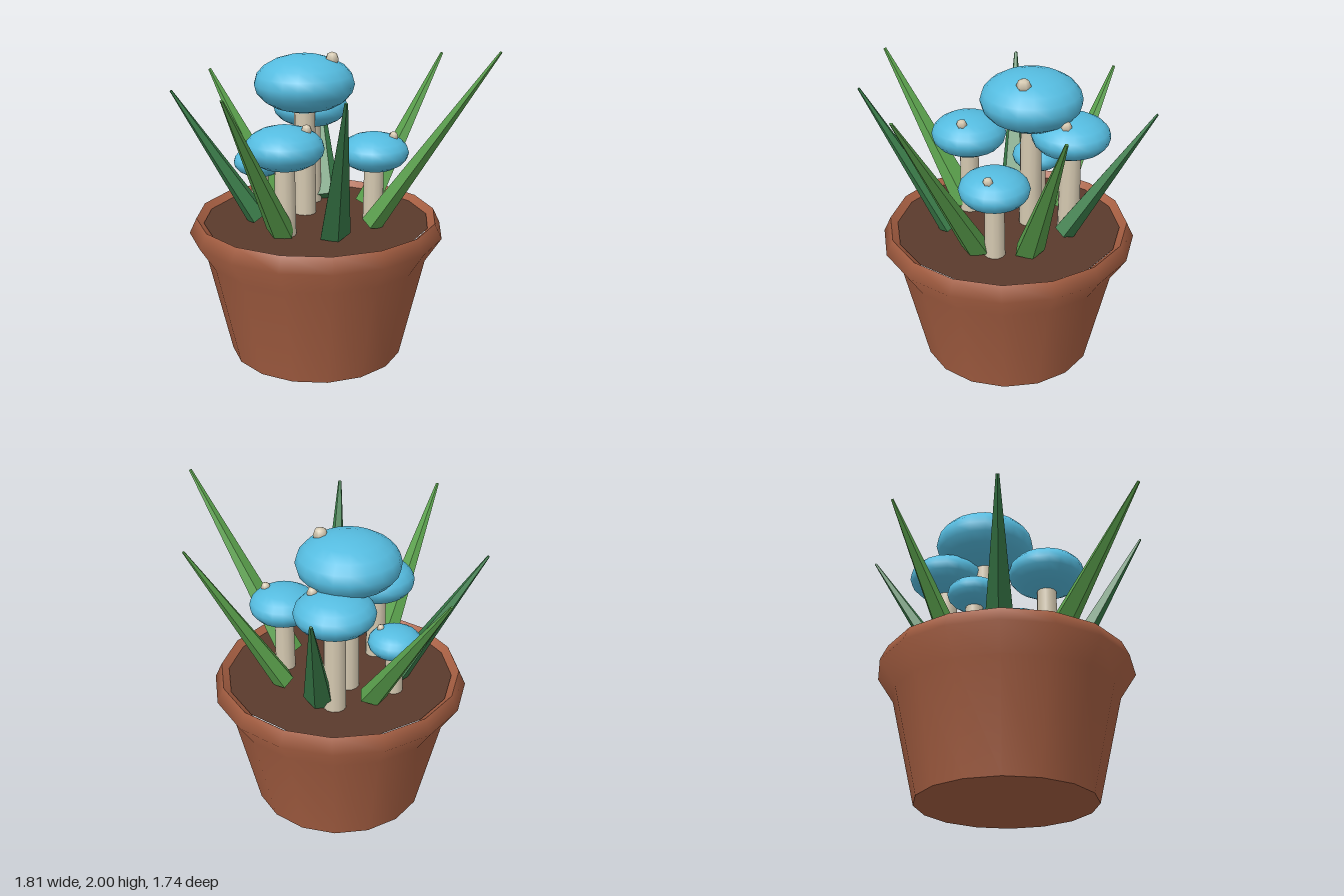
import * as THREE from 'three';

const mat = (name, color, extra = {}) => {
  const m = new THREE.MeshStandardMaterial({ color, ...extra });
  m.name = name;
  return m;
};

export function createModel() {
  const group = new THREE.Group();
  const clay = mat('terracotta', 0xa86043);
  const earth = mat('soil', 0x5a3a2c);
  const blue = mat('capBlue', 0x55bce0);
  const cream = mat('stemCream', 0xd4c8b0);
  const lightGreen = mat('lightGreen', 0x5aa04c, { flatShading: true });
  const darkGreen = mat('darkGreen', 0x3a7d4a, { flatShading: true });

  const add = (parent, name, geometry, material, x = 0, y = 0, z = 0) => {
    const mesh = new THREE.Mesh(geometry, material);
    mesh.name = name;
    mesh.position.set(x, y, z);
    parent.add(mesh);
    return mesh;
  };
  const lathe = (points) =>
    new THREE.LatheGeometry(points.map(([r, y]) => new THREE.Vector2(r, y)), 16);

  // Pot: flared outer wall, inner lip, base and soil
  const CX = -0.03, CZ = -0.015, SOIL = 0.87;
  const pot = new THREE.Group();
  pot.name = 'pot';
  pot.position.set(CX, 0, CZ);
  group.add(pot);
  add(pot, 'potWall', lathe([[0.55, 0], [0.7, 0.655], [0.8, 0.81], [0.755, 0.905]]), clay);
  add(pot, 'potLip', lathe([[0.755, 0.905], [0.695, SOIL - 0.02]]), clay);
  add(pot, 'potBase', new THREE.CircleGeometry(0.55, 16).rotateX(Math.PI / 2), clay);
  add(pot, 'soil', new THREE.CircleGeometry(0.71, 16).rotateX(-Math.PI / 2), earth, 0, SOIL, 0);

  // Mushrooms: x, cap centre height, z, cap radius, cap half height, stem radius
  const mushrooms = [
    [-0.03, 1.715, -0.165, 0.315, 0.18, 0.068],
    [-0.333, 1.41, 0.14, 0.238, 0.133, 0.062],
    [0.27, 1.315, 0.18, 0.215, 0.12, 0.062],
    [0.125, 1.513, -0.365, 0.243, 0.13, 0.067],
    [-0.278, 1.21, -0.31, 0.165, 0.095, 0.055],
  ];
  for (const [x, y, z, r, h, s] of mushrooms) {
    const mushroom = new THREE.Group();
    mushroom.name = 'mushroom';
    mushroom.position.set(x, 0, z);
    group.add(mushroom);
    const length = y - SOIL + 0.03;
    add(mushroom, 'stem', new THREE.CylinderGeometry(s * 0.95, s * 1.06, length, 12), cream, 0, y - length / 2, 0);
    add(mushroom, 'cap', new THREE.SphereGeometry(1, 20, 10).scale(r, h, r), blue, 0, y, 0);
    add(mushroom, 'capSpot', new THREE.SphereGeometry(r * 0.145, 6, 4), cream, r * 0.44, y + h * 0.85, r * 0.33);
  }

  // Spiky leaves: evenly spaced around the pot, each a flattened five-sided spike leaning to its tip
  const tips = [
    [0.896, 1.85, 0],
    [0.663, 2.0, 0.858],
    [-0.325, 1.81, 0.822],
    [-0.897, 1.83, 0.523],
    [-0.834, 1.715, -0.361],
    [-0.36, 1.72, -0.868],
    [0.403, 1.7, -0.79],
  ];
  tips.forEach((t, i) => {
    const a = (i / tips.length) * Math.PI * 2;
    const out = new THREE.Vector3(Math.cos(a), 0, Math.sin(a));
    const base = new THREE.Vector3(CX, 0.9, CZ).addScaledVector(out, 0.375);
    const axis = new THREE.Vector3(...t).sub(base);
    const length = axis.length();
    axis.normalize();
    const side = new THREE.Vector3().crossVectors(axis, out).normalize();
    const front = new THREE.Vector3().crossVectors(side, axis);
    const spike = new THREE.CylinderGeometry(0.011, 0.1, length, 5)
      .scale(1, 1, 0.7)
      .translate(0, length / 2, 0)
      .applyMatrix4(new THREE.Matrix4().makeBasis(side, axis, front));
    add(group, 'leaf', spike, i === 0 || i % 2 ? lightGreen : darkGreen, base.x, base.y, base.z);
  });

  return group;
}
